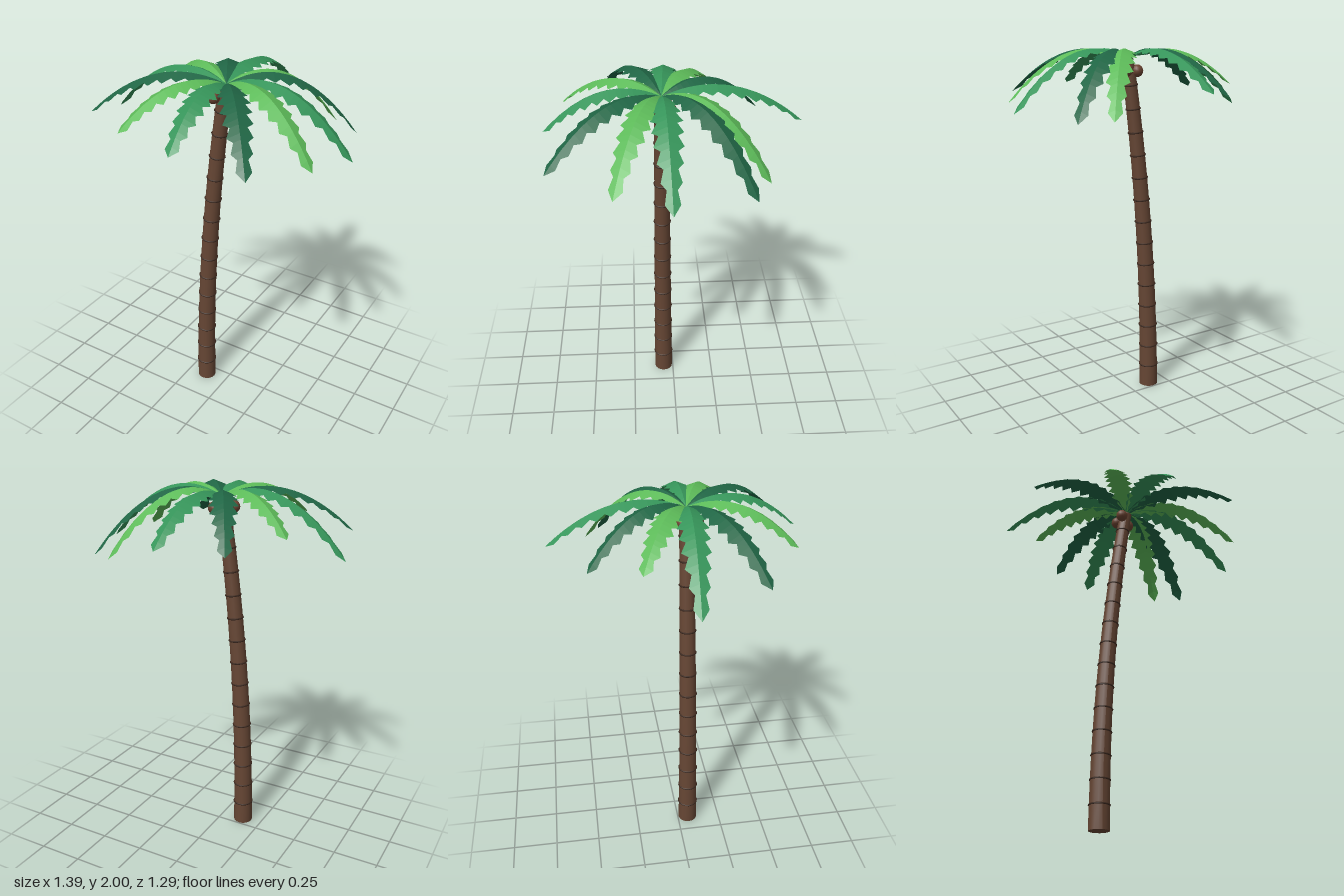
import * as THREE from 'three';

const mat = (name, color, extra = {}) => {
  const m = new THREE.MeshStandardMaterial({ color, ...extra });
  m.name = name;
  return m;
};

const TRUNK_Z = 0.06, TRUNK_H = 1.93;
const CROWN = new THREE.Vector3(0.015, 1.945, 0.06);
const bendX = (y) => -0.135 + 0.039 * y * y; // trunk leans more with height
const trunkR = (y) => 0.055 - 0.0095 * y;

// Piecewise linear half width of a frond along its length
const ENVELOPE = [[0, 0.008], [0.1, 0.032], [0.25, 0.068], [0.45, 0.078], [0.65, 0.069], [0.8, 0.053], [0.92, 0.037], [1, 0.03]];
function envelope(t) {
  for (let i = 1; i < ENVELOPE.length; i++) {
    const [t0, w0] = ENVELOPE[i - 1], [t1, w1] = ENVELOPE[i];
    if (t <= t1) return w0 + (w1 - w0) * (t - t0) / (t1 - t0);
  }
  return 0;
}

// Saw-toothed outline: a valley and a peak for each leaflet, then the point
function frondOutline() {
  const n = 10, out = [[0, 0.006]];
  for (let i = 0; i < n; i++) {
    const v = i / n, p = (i + 0.35) / n;
    if (i > 0) out.push([v - 0.02, envelope(v) * 0.62]);
    out.push([p - 0.02 + 0.025, envelope(p)]);
  }
  out.push([1, 0]);
  return out;
}
const OUTLINE = frondOutline();

// Arched frond with a raised midrib, running from the crown to its tip
function frondGeometry(tipX, tipY, tipZ) {
  const dx = tipX - CROWN.x, dz = tipZ - CROWN.z;
  const reach = Math.hypot(dx, dz);
  const sx = -dz / reach, sz = dx / reach; // sideways direction
  const rise = 0.053, u = 1 + Math.sqrt(1 + (CROWN.y - tipY) / rise);
  const point = ([t, w], side) => [
    CROWN.x + dx * t + sx * w * side,
    CROWN.y + rise * (2 * u * t - u * u * t * t) - Math.abs(side) * w * 0.4,
    CROWN.z + dz * t + sz * w * side,
  ];
  const pos = [];
  for (let i = 1; i < OUTLINE.length; i++) {
    const a = OUTLINE[i - 1], b = OUTLINE[i];
    for (const side of [1, -1]) {
      const ra = point(a, 0), rb = point(b, 0), ea = point(a, side), eb = point(b, side);
      if (side > 0) pos.push(...ra, ...ea, ...rb, ...rb, ...ea, ...eb);
      else pos.push(...ra, ...rb, ...ea, ...rb, ...eb, ...ea);
    }
  }
  const g = new THREE.BufferGeometry();
  g.setAttribute('position', new THREE.Float32BufferAttribute(pos, 3));
  g.computeVertexNormals();
  return g;
}

// Straight cylinder moved onto the leaning curve
function trunkGeometry() {
  const g = new THREE.CylinderGeometry(trunkR(TRUNK_H), trunkR(0), TRUNK_H, 16, 15);
  g.translate(0, TRUNK_H / 2, 0);
  const p = g.attributes.position;
  for (let i = 0; i < p.count; i++) {
    p.setX(i, p.getX(i) + bendX(p.getY(i)));
    p.setZ(i, p.getZ(i) + TRUNK_Z);
  }
  g.computeVertexNormals();
  return g;
}

export function createModel() {
  const bark = mat('bark brown', 0x664634);
  const ringMat = mat('ring dark brown', 0x3c291f);
  const nut = mat('coconut brown', 0x6b4331);
  const leaf = { side: THREE.DoubleSide, flatShading: true };
  const greens = [
    mat('mid green', 0x36955a, leaf),
    mat('lime green', 0x5dbb59, leaf),
    mat('dark green', 0x206645, leaf),
  ];

  const model = new THREE.Group();
  model.name = 'palmTree';
  const add = (parent, name, geometry, material) => {
    const m = new THREE.Mesh(geometry, material);
    m.name = name;
    parent.add(m);
    return m;
  };

  add(model, 'trunk', trunkGeometry(), bark);

  // Thin growth rings, square to the lean of the trunk
  const rings = new THREE.Group();
  rings.name = 'trunkRings';
  model.add(rings);
  for (let i = 1; i <= 14; i++) {
    const y = i * 0.1288;
    const geo = new THREE.TorusGeometry(trunkR(y), 0.005, 6, 16).rotateX(Math.PI / 2);
    const ring = add(rings, 'trunkRing', geo, ringMat);
    ring.position.set(bendX(y), y, TRUNK_Z);
    ring.rotation.z = -Math.atan(0.078 * y);
  }

  // Coconuts under the crown
  const nuts = new THREE.Group();
  nuts.name = 'coconuts';
  model.add(nuts);
  for (const [x, y, z] of [[-0.03, 1.885, 0.11], [-0.035, 1.88, 0.035], [0.04, 1.885, 0.02]]) {
    add(nuts, 'coconut', new THREE.SphereGeometry(0.034, 14, 10), nut).position.set(x, y, z);
  }

  // Fronds by tip position, going round the crown; the greens repeat in threes
  const tips = [
    [-0.70, 1.68, 0.015], [-0.48, 1.81, -0.215], [-0.28, 1.75, -0.46],
    [-0.015, 1.79, -0.65], [0.40, 1.665, -0.44], [0.55, 1.655, -0.36],
    [0.695, 1.68, 0.035], [0.61, 1.715, 0.30], [0.445, 1.76, 0.61],
    [0.075, 1.80, 0.645], [-0.265, 1.81, 0.57], [-0.62, 1.77, 0.345],
  ];
  const crown = new THREE.Group();
  crown.name = 'crown';
  model.add(crown);
  tips.forEach((t, i) => add(crown, 'frond', frondGeometry(...t), greens[i % 3]));

  return model;
}
